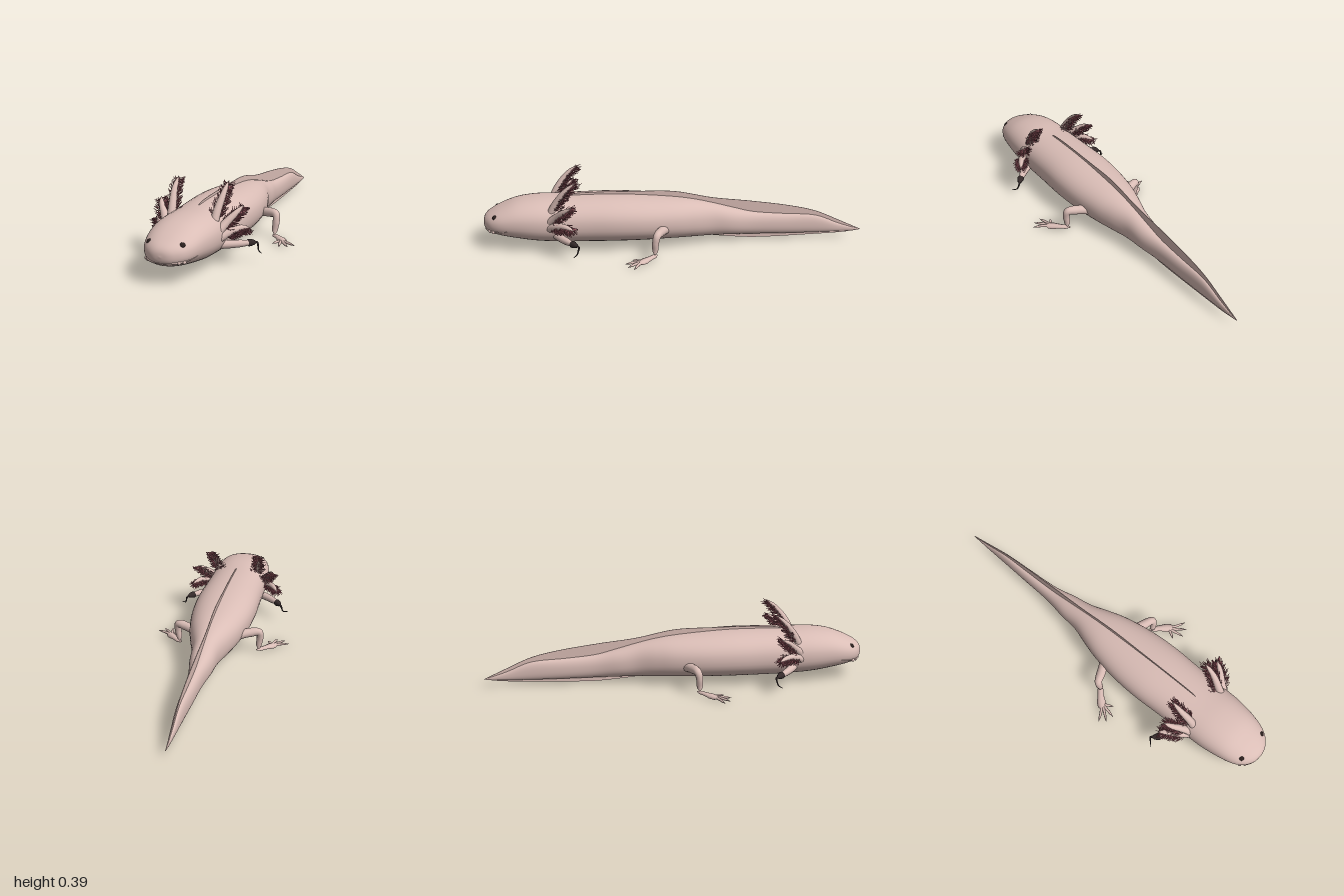
import * as THREE from 'three';
import { mergeGeometries } from 'three/addons/utils/BufferGeometryUtils.js';

const V = (x, y, z) => new THREE.Vector3(x, y, z);

// Seeded random numbers for the gill filaments
let seed = 7;
const rand = () => (seed = (seed * 16807) % 2147483647) / 2147483647;

// Smooth tube through points, its radius following a list; flat squashes its height
function taper(points, radii, n = 24, sides = 12, flat = 1) {
  const curve = new THREE.CatmullRomCurve3(points, false, 'centripetal');
  const geo = new THREE.TubeGeometry(curve, n, 1, sides, false);
  const pos = geo.attributes.position, v = V(0, 0, 0);
  for (let i = 0; i <= n; i++) {
    const f = (i / n) * (radii.length - 1), k = Math.min(Math.floor(f), radii.length - 2);
    const r = THREE.MathUtils.lerp(radii[k], radii[k + 1], f - k), p = curve.getPointAt(i / n);
    for (let j = 0; j <= sides; j++) {
      const id = i * (sides + 1) + j;
      v.fromBufferAttribute(pos, id).sub(p).multiplyScalar(r);
      v.y *= flat;
      v.add(p);
      pos.setXYZ(id, v.x, v.y, v.z);
    }
  }
  return geo;
}

// Head, trunk and tail: rounded cross-sections [z, half width, bottom, top]
function bodyGeometry() {
  const st = [
    [1, 0.0002, 0.1399, 0.1401], [0.995, 0.036, 0.115, 0.165], [0.98, 0.067, 0.097, 0.185],
    [0.95, 0.1, 0.084, 0.204], [0.9, 0.126, 0.072, 0.228], [0.82, 0.145, 0.057, 0.256],
    [0.72, 0.157, 0.042, 0.269], [0.6, 0.159, 0.034, 0.27], [0.45, 0.163, 0.032, 0.274],
    [0.3, 0.168, 0.032, 0.274], [0.15, 0.16, 0.033, 0.266], [0, 0.135, 0.035, 0.253],
    [-0.1, 0.106, 0.035, 0.238], [-0.2, 0.074, 0.035, 0.215], [-0.3, 0.062, 0.035, 0.188],
    [-0.42, 0.04, 0.033, 0.158], [-0.58, 0.03, 0.031, 0.143], [-0.75, 0.02, 0.031, 0.13],
    [-0.88, 0.011, 0.034, 0.08], [-0.99, 0.002, 0.038, 0.044],
  ];
  const size = new THREE.CatmullRomCurve3(st.map((s) => V(s[1], (s[2] + s[3]) / 2, (s[3] - s[2]) / 2)), false, 'catmullrom');
  const along = new THREE.CatmullRomCurve3(st.map((s) => V(0, 0, s[0])), false, 'catmullrom');
  const rings = 95, m = 40, pos = [], idx = [];
  const round = (c) => Math.sign(c) * Math.abs(c) ** (2 / 2.25);
  for (let i = 0; i <= rings; i++) {
    const s = size.getPoint(i / rings), z = along.getPoint(i / rings).z;
    for (let j = 0; j < m; j++) {
      const a = (j / m) * Math.PI * 2;
      pos.push(s.x * round(Math.cos(a)), s.y + s.z * round(Math.sin(a)), z);
      if (i === rings) continue;
      const p = i * m + j, q = i * m + ((j + 1) % m);
      idx.push(p, p + m, q, q, p + m, q + m);
    }
  }
  const geo = new THREE.BufferGeometry();
  geo.setAttribute('position', new THREE.Float32BufferAttribute(pos, 3));
  geo.setIndex(idx);
  geo.computeVertexNormals();
  return geo;
}

// Thin fin along the back and under the tail; shape x runs towards the tail
function finGeometry() {
  const s = new THREE.Shape();
  const pts = (list) => list.map(([x, y]) => new THREE.Vector2(x, y));
  s.moveTo(-0.57, 0.25);
  s.splineThru(pts([[-0.56, 0.276], [-0.45, 0.286], [-0.2, 0.287], [0, 0.282], [0.2, 0.243],
    [0.4, 0.219], [0.6, 0.19], [0.75, 0.155], [0.88, 0.098], [1, 0.042]]));
  s.splineThru(pts([[0.9, 0.028], [0.7, 0.018], [0.45, 0.01], [0.3, 0.018], [0.15, 0.036], [0, 0.07]]));
  s.lineTo(-0.5, 0.2);
  const geo = new THREE.ExtrudeGeometry(s, { depth: 0.003, bevelEnabled: false, curveSegments: 40 });
  return geo.translate(0, 0, -0.0015).rotateY(Math.PI / 2);
}

// Fringe of curling filaments on both edges of a gill stalk
function fringeGeometry(points, back) {
  const curve = new THREE.CatmullRomCurve3(points, false, 'centripetal');
  const parts = [], rows = 30;
  for (let i = 0; i < rows; i++) {
    const u = 0.2 + 0.78 * (i / rows), p = curve.getPointAt(u), t = curve.getTangentAt(u);
    const b = back.clone().addScaledVector(t, -back.dot(t)).normalize();
    const side = V(0, 0, 0).crossVectors(t, b);
    for (const w of [-1.25, -0.85, -0.4, 0.4, 0.85, 1.25]) {
      const len = (0.038 + 0.02 * rand()) * (1 - 0.4 * u * u);
      const dir = side.clone().multiplyScalar(Math.sin(w)).addScaledVector(b, Math.cos(w))
        .addScaledVector(t, 0.1 + 0.3 * rand())
        .add(V(rand() - 0.5, rand() - 0.5, rand() - 0.5).multiplyScalar(0.5)).normalize();
      // the tip curls towards the end of the stalk
      const mid = p.clone().addScaledVector(dir, len * 0.6);
      const tip = mid.clone().addScaledVector(dir, len * 0.35).addScaledVector(t, len * 0.35);
      parts.push(taper([p, mid, tip], [0.002, 0.0018, 0.0012], 3, 5));
    }
  }
  return mergeGeometries(parts);
}

export function createModel() {
  const model = new THREE.Group();
  const mat = (name, color) => Object.assign(new THREE.MeshStandardMaterial({ color }), { name });
  const skin = mat('pinkSkin', 0xdabdb6);
  const maroon = mat('gillMaroon', 0xa5606a);
  const dark = mat('darkClaw', 0x352a2a);
  const black = mat('eyeBlack', 0x2a1f1d);
  const add = (name, geo, material, parent = model) => {
    const mesh = new THREE.Mesh(geo, material);
    mesh.name = name;
    parent.add(mesh);
    return mesh;
  };

  add('body', bodyGeometry(), skin);
  add('fin', finGeometry(), skin);

  // Upper lip running round the snout
  const lip = [[0.13, 0.125, 0.87], [0.117, 0.118, 0.9], [0.088, 0.112, 0.95], [0.053, 0.11, 0.979]];
  const lipPoints = [...lip.map(([x, y, z]) => V(-x, y, z)), V(0, 0.108, 0.988),
    ...lip.slice().reverse().map(([x, y, z]) => V(x, y, z))];
  add('lip', taper(lipPoints, [0.001, 0.004, 0.005, 0.005, 0.005, 0.004, 0.001], 48, 8), skin);

  // Gills: stalk points and the direction the fringe trails
  const gills = [
    { p: [[0.11, 0.2, 0.65], [0.117, 0.27, 0.615], [0.128, 0.34, 0.565], [0.131, 0.39, 0.51]], back: [0, -0.5, -0.85] },
    { p: [[0.135, 0.175, 0.65], [0.162, 0.215, 0.61], [0.195, 0.255, 0.57], [0.217, 0.283, 0.53]], back: [0.1, -0.6, -0.75] },
    { p: [[0.14, 0.145, 0.65], [0.18, 0.17, 0.61], [0.215, 0.181, 0.565], [0.245, 0.172, 0.52]], back: [0.1, -1, -0.35] },
  ];

  for (const s of [1, -1]) {
    const side = new THREE.Group();
    side.name = s > 0 ? 'leftSide' : 'rightSide';
    model.add(side);
    const P = (list) => list.map(([x, y, z]) => V(s * x, y, z));

    // Eye
    const eye = add('eye', new THREE.SphereGeometry(0.015, 20, 14), black, side);
    eye.position.set(s * 0.081, 0.184, 0.932);

    // Small bumps on the lip
    for (const [x, z] of [[0.077, 0.961], [0.095, 0.942]]) {
      add('lipBump', new THREE.SphereGeometry(0.009, 14, 10), skin, side).position.set(s * x, 0.11, z);
    }

    for (const g of gills) {
      const pts = P(g.p);
      add('gillStalk', taper(pts, [0.022, 0.021, 0.02, 0.018, 0.015, 0.011, 0.001], 28, 12), skin, side);
      add('gillFringe', fringeGeometry(pts, V(s * g.back[0], g.back[1], g.back[2])), maroon, side);
    }

    // Front leg: short upper arm, dark cuff and thin bent claw
    add('frontLeg', taper(P([[0.11, 0.103, 0.63], [0.18, 0.102, 0.585], [0.248, 0.1, 0.53]]),
      [0.022, 0.021, 0.02, 0.018, 0.012], 16), skin, side);
    add('frontCuff', taper(P([[0.232, 0.101, 0.543], [0.25, 0.1, 0.525], [0.272, 0.098, 0.503]]),
      [0.001, 0.019, 0.017, 0.013, 0.002], 14, 10), dark, side);
    add('frontClaw', taper(P([[0.262, 0.1, 0.51], [0.274, 0.095, 0.498], [0.279, 0.078, 0.501],
      [0.285, 0.06, 0.508], [0.307, 0.053, 0.525]]),
    [0.006, 0.005, 0.0035, 0.003, 0.0015], 20, 8), dark, side);

    // Hind leg: thigh out to the knee, shin down, flat foot with four toes
    add('hindLeg', taper(P([[0.1, 0.115, 0.045], [0.17, 0.125, 0.078], [0.222, 0.124, 0.1],
      [0.227, 0.09, 0.108], [0.221, 0.045, 0.11], [0.219, 0.014, 0.112]]),
    [0.028, 0.026, 0.024, 0.024, 0.024, 0.021, 0.019, 0.018, 0.017, 0.015, 0.001], 40, 14), skin, side);
    add('hindFoot', taper(P([[0.208, 0.013, 0.1], [0.25, 0.014, 0.138], [0.285, 0.011, 0.175], [0.305, 0.009, 0.2]]),
      [0.004, 0.016, 0.016, 0.019, 0.024, 0.022, 0.004], 24, 12, 0.5), skin, side);
    for (const [x, z] of [[0.367, 0.222], [0.34, 0.252], [0.297, 0.264], [0.252, 0.228]]) {
      add('hindToe', taper(P([[0.28, 0.01, 0.175], [(0.28 + x) / 2, 0.011, (0.18 + z) / 2], [x, 0.007, z]]),
        [0.008, 0.008, 0.007, 0.006, 0.001], 12, 8), skin, side);
    }
  }
  return model;
}
